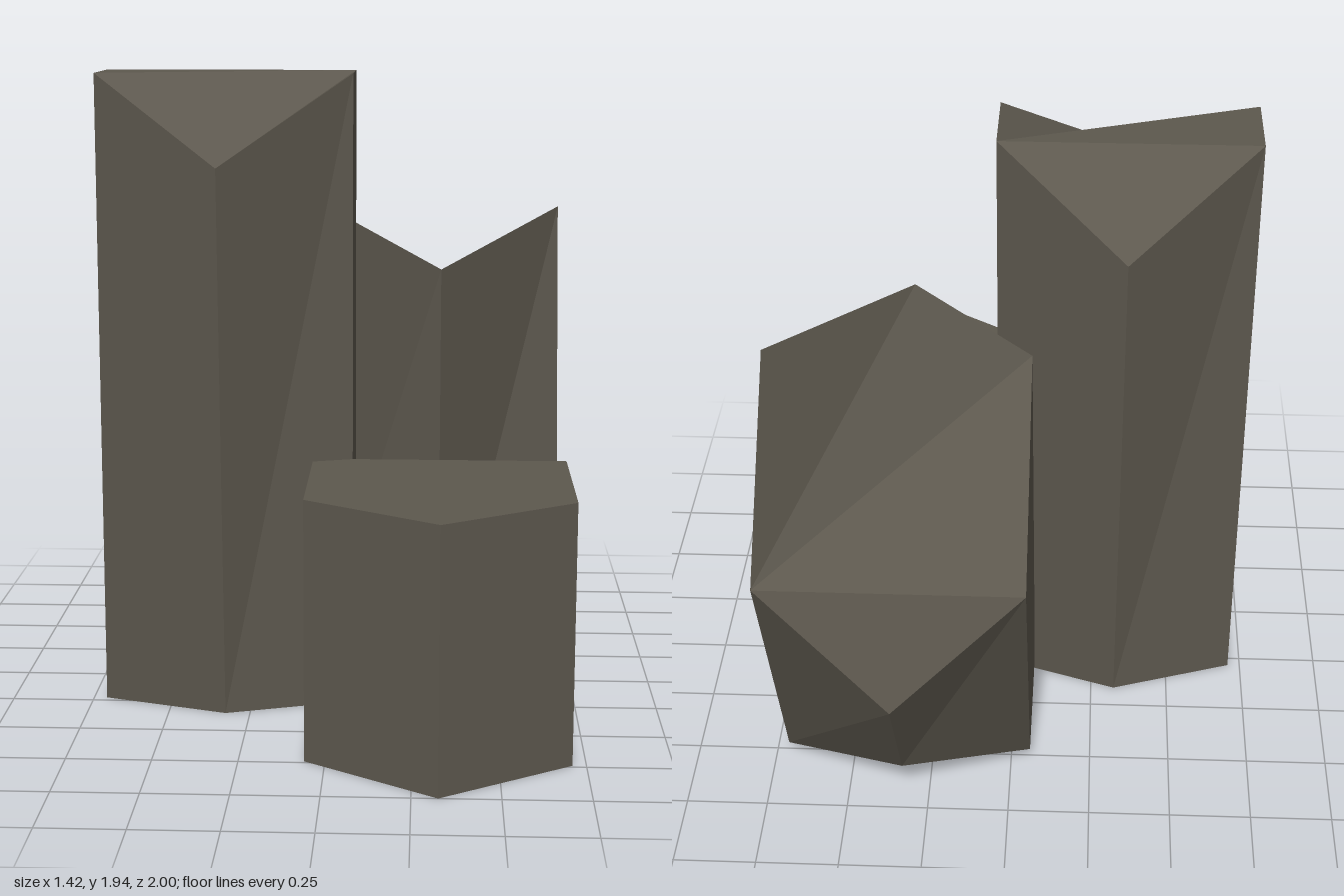
import * as THREE from 'three';

// Six corners, counterclockwise from above, starting at the right back.
// A ring is given as [y, z] for back, back sides, front sides and front.
function ring(cx, [back, backSide, frontSide, front]) {
  const half = 0.385;
  return [
    [cx + half, ...backSide], [cx, ...back], [cx - half, ...backSide],
    [cx - half, ...frontSide], [cx, ...front], [cx + half, ...frontSide],
  ];
}

// Hexagonal stone column between two rings, with fanned caps
function column(name, cx, bottomRing, topRing, material) {
  const b = ring(cx, bottomRing), t = ring(cx, topRing);
  const pos = [];
  const tri = (...corners) => corners.forEach((c) => pos.push(...c));
  for (let i = 0; i < 6; i++) {
    const j = (i + 1) % 6;
    tri(b[i], b[j], t[j]);
    tri(b[i], t[j], t[i]);
  }
  for (let k = 1; k < 5; k++) {
    tri(t[0], t[k], t[k + 1]);
    tri(b[0], b[k + 1], b[k]);
  }
  const geometry = new THREE.BufferGeometry();
  geometry.setAttribute('position', new THREE.Float32BufferAttribute(pos, 3));
  geometry.computeVertexNormals();
  const mesh = new THREE.Mesh(geometry, material);
  mesh.name = name;
  return mesh;
}

export function createModel() {
  const group = new THREE.Group();
  group.name = 'stoneColumns';
  const stone = new THREE.MeshStandardMaterial({ color: 0x5d584e });
  stone.name = 'darkStone';
  stone.flatShading = true;

  // Tall column, narrowing towards its foot
  group.add(column('tallColumn', -0.325,
    [[0, -0.165], [0, -0.035], [0, 0.225], [0, 0.35]],
    [[1.68, -0.29], [1.94, -0.035], [1.94, 0.225], [1.68, 0.48]], stone));

  // Short upright column with a chipped back corner
  group.add(column('shortColumn', 0.325,
    [[0, -0.035], [0, 0.225], [0, 0.74], [0, 1]],
    [[0.52, -0.035], [0.775, 0.225], [0.775, 0.74], [0.775, 1]], stone));

  // Column leaning backwards
  group.add(column('leaningColumn', 0.325,
    [[0.165, -0.74], [0.04, -0.515], [0.04, -0.065], [0.04, 0.28]],
    [[0.61, -1], [0.97, -0.905], [1.48, -0.455], [1.35, 0.155]], stone));

  return group;
}
